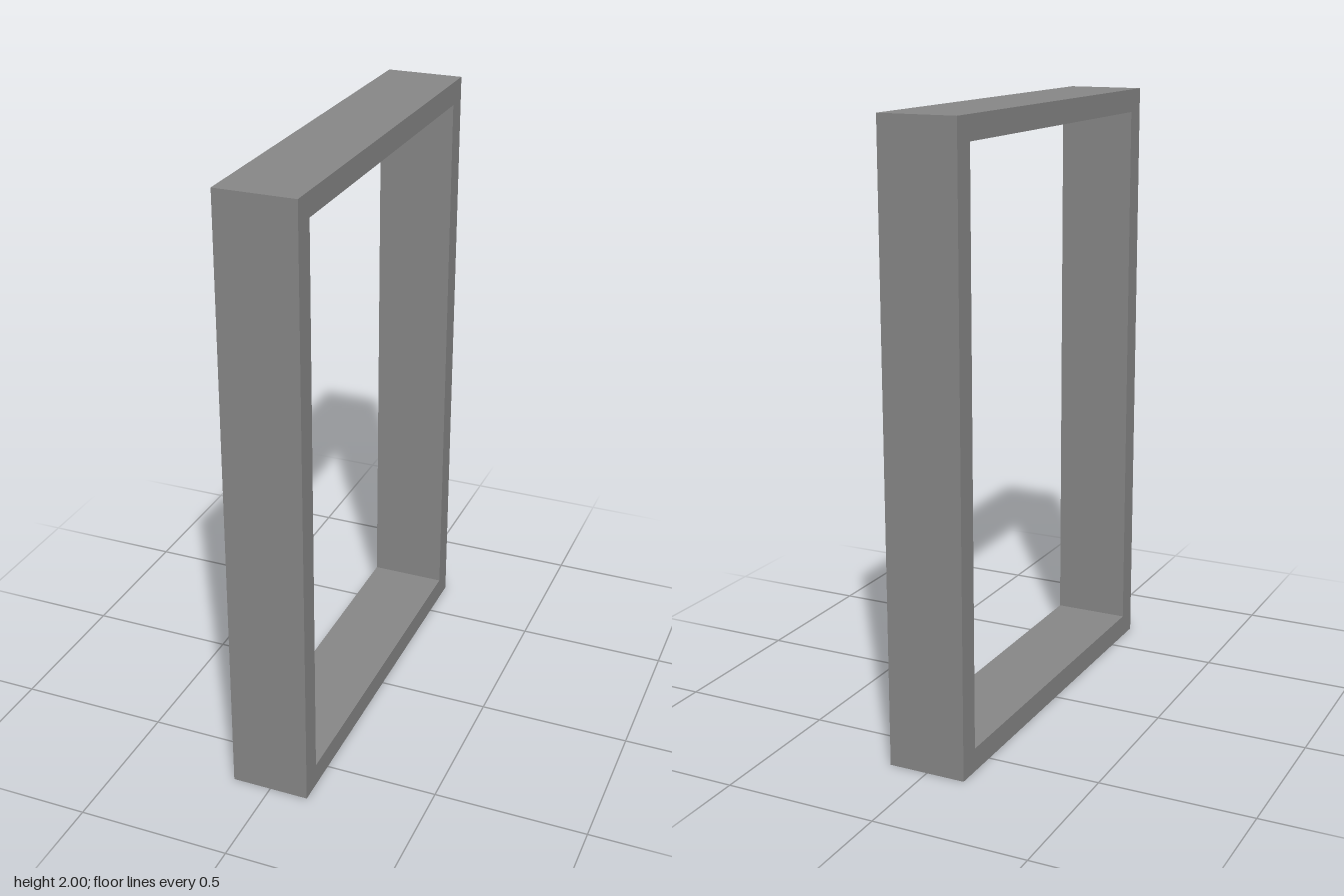
import * as THREE from 'three';

const HEIGHT = 2, WIDTH = 1.346, DEPTH = 0.256, WALL = 0.076;

// Closed rectangle from half-width and vertical limits
function rectangle(path, halfWidth, bottom, top) {
  path.moveTo(-halfWidth, bottom);
  path.lineTo(halfWidth, bottom);
  path.lineTo(halfWidth, top);
  path.lineTo(-halfWidth, top);
  path.closePath();
  return path;
}

export function createModel() {
  const group = new THREE.Group();
  group.name = 'openFrame';

  // Rectangular frame with one large opening
  const outline = rectangle(new THREE.Shape(), WIDTH / 2, 0, HEIGHT);
  outline.holes.push(rectangle(new THREE.Path(), WIDTH / 2 - WALL, WALL, HEIGHT - WALL));

  // Extrude, centre the depth, then turn the opening to face sideways
  const geometry = new THREE.ExtrudeGeometry(outline, { depth: DEPTH, bevelEnabled: false });
  geometry.translate(0, 0, -DEPTH / 2);
  geometry.rotateY(Math.PI / 2);

  const frame = new THREE.Mesh(
    geometry,
    new THREE.MeshStandardMaterial({ color: 0x888888, flatShading: true })
  );
  frame.name = 'frame';
  group.add(frame);
  return group;
}
